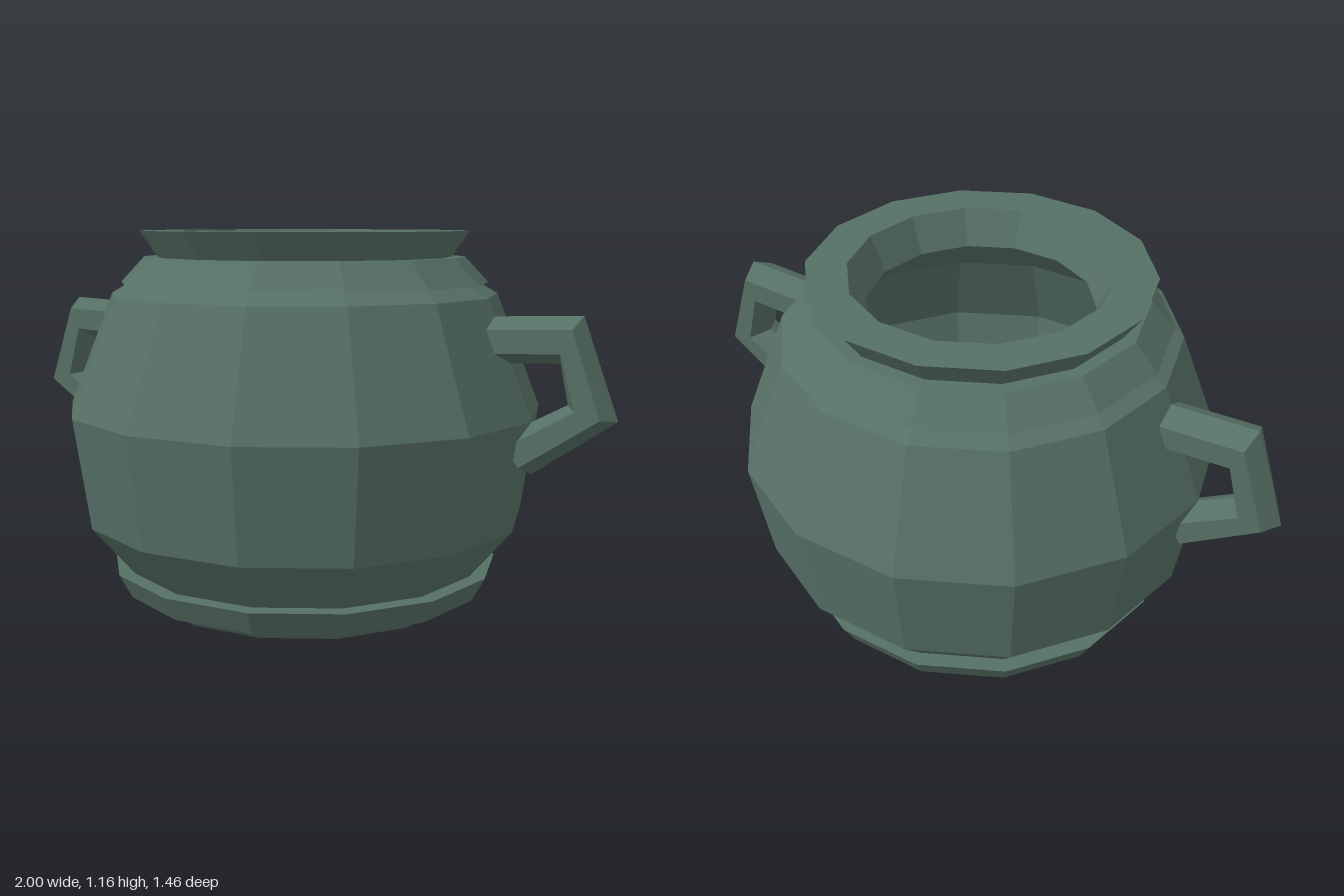
import * as THREE from 'three';

const SIDES = 14;
const material = new THREE.MeshStandardMaterial({ color: 0x567065, flatShading: true });

// Faceted ring of the pot, corners on the x axis; profile runs up the outside
function turned(name, profile) {
  const points = profile.map(([r, y]) => new THREE.Vector2(r, y));
  const mesh = new THREE.Mesh(new THREE.LatheGeometry(points, SIDES, Math.PI / 2), material);
  mesh.name = name;
  return mesh;
}

// Six-sided bar through stations, each given by its outer and inner ridge point
function handleGeometry(stations, halfWidth) {
  const section = [[0, 0], [0.25, 1], [0.75, 1], [1, 0], [0.75, -1], [0.25, -1]];
  const n = section.length;
  const positions = [];
  const index = [];
  for (const [ox, oy, ix, iy] of stations) {
    for (const [t, side] of section) {
      positions.push(ox + (ix - ox) * t, oy + (iy - oy) * t, side * halfWidth);
    }
  }
  for (let s = 0; s < stations.length - 1; s++) {
    for (let k = 0; k < n; k++) {
      const a = s * n + k;
      const b = s * n + (k + 1) % n;
      index.push(a, b, a + n, b, b + n, a + n);
    }
  }
  // End caps
  const last = (stations.length - 1) * n;
  for (let k = 1; k < n - 1; k++) {
    index.push(0, k + 1, k, last, last + k, last + k + 1);
  }
  const geometry = new THREE.BufferGeometry();
  geometry.setAttribute('position', new THREE.Float32BufferAttribute(positions, 3));
  geometry.setIndex(index);
  const flat = geometry.toNonIndexed();
  flat.computeVertexNormals();
  return flat;
}

export function createModel() {
  const pot = new THREE.Group();
  pot.name = 'pot';

  // Foot and the flared band stepping out above it
  pot.add(turned('foot', [[0, 0], [0.5, 0], [0.535, 0.04]]));
  pot.add(turned('footBand', [[0.535, 0.04], [0.58, 0.04], [0.62, 0.115], [0.57, 0.115]]));

  // Rounded belly and shoulder
  pot.add(turned('belly', [[0.57, 0.115], [0.7, 0.27], [0.75, 0.61], [0.61, 0.965], [0.55, 1.0]]));

  // Sloping collar
  pot.add(turned('collar', [[0.55, 1.0], [0.58, 1.0], [0.505, 1.08], [0.465, 1.08]]));

  // Flared rim with a bevelled mouth
  pot.add(turned('rim', [[0.465, 1.08], [0.52, 1.16], [0.395, 1.16], [0.345, 1.05]]));

  // Hollow inside
  pot.add(turned('interior', [[0.345, 1.05], [0.56, 0.87], [0.67, 0.6], [0.62, 0.3], [0.46, 0.1], [0, 0.1]]));

  // Pair of angular handles
  const geometry = handleGeometry([
    [0.62, 0.914, 0.62, 0.775],
    [0.893, 0.925, 0.83, 0.786],
    [1.0, 0.63, 0.855, 0.668],
    [0.754, 0.455, 0.674, 0.568],
  ], 0.068);
  for (const [name, turn] of [['leftHandle', 0], ['rightHandle', Math.PI]]) {
    const handle = new THREE.Mesh(geometry, material);
    handle.name = name;
    handle.rotation.y = turn;
    pot.add(handle);
  }
  return pot;
}
